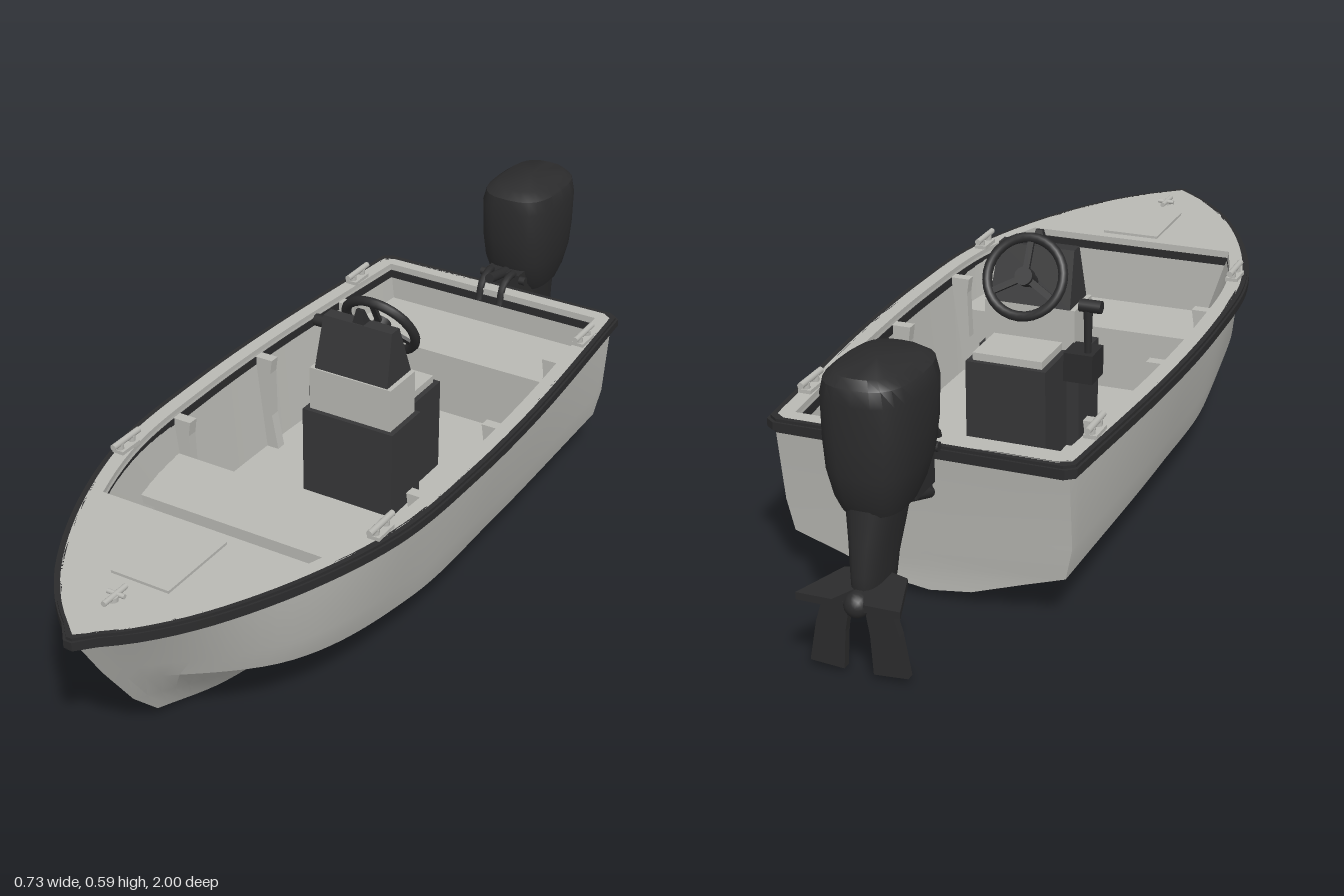
import * as THREE from 'three';
import { toCreasedNormals } from 'three/addons/utils/BufferGeometryUtils.js';

const paint = (name, color) => {
  const m = new THREE.MeshStandardMaterial({ color, side: THREE.DoubleSide });
  m.name = name;
  return m;
};
const V = (p) => new THREE.Vector3(...p);

// Skin stretched over rows of points
function loft(rows, crease = 0.5) {
  const n = rows[0].length, index = [];
  for (let i = 0; i < rows.length - 1; i++) for (let j = 0; j < n - 1; j++) {
    const a = i * n + j, b = a + n;
    index.push(a, b, a + 1, b, b + 1, a + 1);
  }
  const g = new THREE.BufferGeometry();
  g.setAttribute('position', new THREE.Float32BufferAttribute(rows.flat(2), 3));
  g.setIndex(index);
  return toCreasedNormals(g, crease);
}

// Rounded-rectangle sections [y, z, halfWidth, halfLength] stacked upwards
function tower(sections) {
  const sq = (v) => Math.sign(v) * Math.abs(v) ** 0.7;
  return loft(sections.map(([y, z, hx, hz]) => Array.from({ length: 25 }, (_, k) => {
    const a = -(k / 24) * Math.PI * 2;
    return [sq(Math.cos(a)) * hx, y, z + sq(Math.sin(a)) * hz];
  })), 0.7);
}

// Horizontal plate from an [x, z] outline, with an optional hole
function plate(outline, hole, y0, y1) {
  const s = new THREE.Shape(outline.map(([x, z]) => new THREE.Vector2(x, -z)));
  if (hole) s.holes.push(new THREE.Path(hole.map(([x, z]) => new THREE.Vector2(x, -z))));
  return new THREE.ExtrudeGeometry(s, { depth: y1 - y0, bevelEnabled: false }).rotateX(-Math.PI / 2).translate(0, y0, 0);
}
const mirrored = (pts) => [...pts, ...pts.slice().reverse().map(([x, z]) => [-x, z])];

export function createModel() {
  const boat = new THREE.Group();
  boat.name = 'motorBoat';
  const light = paint('hullGrey', 0xb8b8b3);
  const black = paint('rubberBlack', 0x2b2b2c);
  const charcoal = paint('consoleCharcoal', 0x363637);

  const add = (name, geo, mat, pos = [0, 0, 0], rot = [0, 0, 0], parent = boat) => {
    const m = new THREE.Mesh(geo, mat);
    m.name = name;
    m.position.set(...pos);
    m.rotation.set(...rot);
    parent.add(m);
    return m;
  };
  const box = (name, mat, [x0, x1], [y0, y1], [z0, z1]) => add(name,
    new THREE.BoxGeometry(x1 - x0, y1 - y0, z1 - z0), mat, [(x0 + x1) / 2, (y0 + y1) / 2, (z0 + z1) / 2]);
  const rod = (name, mat, a, b, r, r2 = r) => {
    const d = V(b).sub(V(a));
    const m = add(name, new THREE.CylinderGeometry(r2, r, d.length(), 12), mat);
    m.position.copy(V(a)).addScaledVector(d, 0.5);
    m.quaternion.setFromUnitVectors(new THREE.Vector3(0, 1, 0), d.normalize());
  };

  // Hull: lengthwise lines from keel to sheer, all meeting at the stem
  const N = 48;
  const lines = [
    [[0, .018, -.645], [0, .008, -.2], [0, .006, .4], [0, .01, .65], [0, .018, .72]],
    [[.09, .03, -.645], [.095, .004, -.2], [.09, .002, .3], [.055, .01, .58], [0, .026, .745]],
    [[.2, .068, -.645], [.22, .068, -.1], [.2, .06, .3], [.1, .068, .6], [0, .1, .82]],
    [[.29, .1, -.65], [.3, .1, -.1], [.295, .105, .25], [.225, .14, .6], [0, .19, .885]],
    [[.305, .17, -.655], [.322, .17, -.1], [.318, .18, .25], [.25, .2, .6], [0, .225, .91]],
    [[.308, .345, -.68], [.345, .345, -.2], [.35, .345, .1], [.334, .345, .37], [.267, .345, .6], [.168, .345, .8], [.084, .345, .91], [0, .345, .985]],
  ].map((pts) => new THREE.CatmullRomCurve3(pts.map(V)).getSpacedPoints(N));
  const stations = Array.from({ length: N + 1 }, (_, i) => {
    const half = lines.map((l) => [Math.max(0, l[i].x), l[i].y, l[i].z]);
    return [...half.slice(1).reverse().map(([x, y, z]) => [-x, y, z]), ...half];
  });
  const transom = stations[0].map(([, y, z]) => [0, y, z]);
  add('hull', loft([transom, ...stations], 0.3), light);

  // Sheer outline, inner opening and beam lookup
  const sheer = lines[5].map((p) => [Math.max(0, p.x), p.z]);
  const beam = (z) => {
    const i = Math.max(1, sheer.findIndex((p) => p[1] >= z));
    const [a, b] = [sheer[i - 1], sheer[i]];
    return THREE.MathUtils.lerp(a[0], b[0], (z - a[1]) / (b[1] - a[1]));
  };
  const innerX = (z, y = .35) => beam(z) - .032 - (.028 + .13 * Math.max(0, z - .2)) * (.35 - y) / .235;
  const zs = Array.from({ length: 31 }, (_, i) => -.648 + i * 1.213 / 30);
  const opening = (o) => mirrored(zs.map((z, i) => [innerX(z) - o, z + (i === 0 ? o : i === 30 ? -o : 0)]));
  const rim = (o) => mirrored([[sheer[0][0] + o - .02, -.68 - o], ...sheer.map(([x, z], i) =>
    [x + o * (i === N ? .6 : 1), i === 0 ? -.665 - o : i === N ? z + o : z])]);
  add('gunwaleAndForedeck', plate(rim(0), opening(0), .345, .36), light);
  for (const [o, y0, y1] of [[.011, .331, .36], [.016, .337, .354]])
    add('rubRail', plate(rim(o), rim(-.004), y0, y1), black);
  add('innerTrim', plate(opening(-.002), opening(.003), .325, .344), black);

  // Cockpit liner with floor and both end walls
  const FLOOR = .115;
  const liner = (z, y) => {
    const t = innerX(z), f = innerX(z, FLOOR);
    return [[t, .35, z], [f, y, z], [-f, y, z], [-t, .35, z]];
  };
  add('cockpitLiner', loft([liner(zs[0], .35), ...zs.map((z) => liner(z, FLOOR)), liner(zs[30], .35)]), light);

  // Benches
  const bench = (name, z0, z1, y) => {
    const side = (h) => [0, 1, 2, 3, 4].map((i) => { const z = z0 + (z1 - z0) * i / 4; return [innerX(z, h), z]; });
    add(name, plate(mirrored(side(FLOOR)), null, FLOOR, y - .02), light);
    add(name + 'Top', plate(mirrored(side(y)), null, y - .02, y), light);
  };
  bench('rearBench', -.646, -.45, .27);
  bench('frontBench', .23, .41, .26);

  // Wall ribs and cleats on both sides
  for (const s of [1, -1]) {
    for (const z of [-.44, -.11, .215]) {
      const t = innerX(z), f = innerX(z, FLOOR);
      const shape = new THREE.Shape([[t, .345], [t - .045, .345], [t - .04, .31], [f - .014, .2], [f - .03, FLOOR], [f, FLOOR]]
        .map(([x, y]) => new THREE.Vector2(x * s, y)));
      add('wallRib', new THREE.ExtrudeGeometry(shape, { depth: .025, bevelEnabled: false }), light, [0, 0, z - .0125]);
    }
    for (const z of [.4, -.53]) {
      const x = s * (beam(z) - .016);
      box('cleatBase', light, [x - .014, x + .014], [.358, .368], [z - .03, z + .03]);
      for (const d of [-.02, .02]) rod('cleatPost', light, [x, .36, z + d], [x, .38, z + d], .008);
      rod('cleatBar', light, [x, .382, z - .045], [x, .382, z + .045], .007);
    }
  }
  rod('bowCleatPost', light, [0, .358, .86], [0, .37, .86], .01);
  rod('bowCleatBar', light, [0, .37, .82], [0, .37, .89], .006);
  rod('bowCleatCross', light, [-.02, .37, .85], [.02, .37, .85], .005);
  box('hatchLid', light, [-.06, .076], [.359, .366], [.592, .788]);

  // Steering console and seat box: dark skirts around light tops
  box('consoleSkirt', charcoal, [-.115, .115], [FLOOR, .325], [-.105, .018]);
  box('consoleTop', light, [-.103, .103], [.325, .427], [-.1, .006]);
  box('seatSkirt', charcoal, [-.087, .094], [FLOOR, .335], [-.232, -.1]);
  box('seatLid', light, [-.075, .082], [.335, .352], [-.22, -.1]);
  const panel = ([y, hw, z0, z1]) => [[-hw, y, z1], [hw, y, z1], [hw, y, z0], [-hw, y, z0], [-hw, y, z1]];
  add('instrumentPanel', loft([[.427, .092, -.1, .002], [.547, .086, -.058, -.026], [.547, 0, -.044, -.044]].map(panel), 0.2), charcoal);
  add('compass', loft([[.547, .014, -.056, -.028], [.578, .008, -.042, -.034], [.578, 0, -.038, -.038]].map(panel), 0.2), black);

  // Steering wheel
  const wheel = new THREE.Group();
  wheel.name = 'steeringWheel';
  wheel.position.set(0, .5, -.125);
  wheel.rotation.x = .5;
  boat.add(wheel);
  add('wheelRim', new THREE.TorusGeometry(.085, .011, 10, 32), black, [0, 0, 0], [0, 0, 0], wheel);
  add('wheelHub', new THREE.CylinderGeometry(.02, .02, .025, 16), black, [0, 0, 0], [Math.PI / 2, 0, 0], wheel);
  for (let k = 0; k < 3; k++) {
    const a = Math.PI / 2 + k * Math.PI * 2 / 3;
    add('wheelSpoke', new THREE.BoxGeometry(.08, .014, .008), black, [Math.cos(a) * .042, Math.sin(a) * .042, 0], [0, 0, a], wheel);
  }
  rod('steeringColumn', black, [0, .5, -.125], [0, .46, -.055], .014);

  // Throttle
  box('throttleMount', black, [-.165, -.1], [.29, .355], [-.16, -.09]);
  rod('throttleLever', black, [-.148, .34, -.14], [-.148, .45, -.14], .007, .01);
  rod('throttleGrip', black, [-.178, .46, -.14], [-.13, .46, -.14], .014);

  // Outboard motor
  add('motorCowl', tower([[.315, -.85, 0, 0], [.315, -.85, .06, .08], [.345, -.845, .072, .1], [.4, -.84, .086, .116],
    [.46, -.836, .092, .122], [.54, -.834, .094, .124], [.572, -.835, .086, .12], [.588, -.84, .064, .1], [.595, -.845, 0, 0]]), black);
  add('motorLeg', tower([[.34, -.85, .05, .085], [.26, -.865, .038, .08], [.2, -.88, .03, .073],
    [.155, -.885, .027, .068], [.13, -.895, .022, .045], [.125, -.9, 0, 0]]), black);
  add('gearCase', new THREE.CapsuleGeometry(.026, .09, 6, 14), black, [0, .15, -.915], [Math.PI / 2, 0, 0]);
  for (const s of [1, -1]) {
    add('motorWing', plate([[0, -.86], [.065, -.88], [.105, -1], [.032, -1], [0, -.93]].map(([x, z]) => [x * s, z]), null, .16, .175), black);
    const blade = new THREE.Shape([[.015, .15], [.07, .15], [.085, .1], [.1, .015], [.03, .01], [.025, .09]]
      .map(([x, y]) => new THREE.Vector2(x * s, y)));
    add('lowerBlade', new THREE.ExtrudeGeometry(blade, { depth: .018, bevelEnabled: false }), black, [0, 0, -.963]);
    // Clamp arms hooked over the transom
    const arm = new THREE.CatmullRomCurve3([[s * .028, .33, -.642], [s * .028, .375, -.66], [s * .03, .385, -.71], [s * .035, .27, -.715]].map(V));
    add('clampArm', new THREE.TubeGeometry(arm, 16, .009, 8), black);
    rod('clampStrut', black, [s * .035, .27, -.71], [s * .03, .3, -.8], .012);
  }
  box('clampBridge', black, [-.045, .045], [.29, .385], [-.79, -.705]);
  rod('tillerArm', black, [0, .375, -.74], [0, .395, -.64], .012);
  rod('swivelPin', black, [-.06, .37, -.715], [.06, .37, -.715], .01);

  return boat;
}
